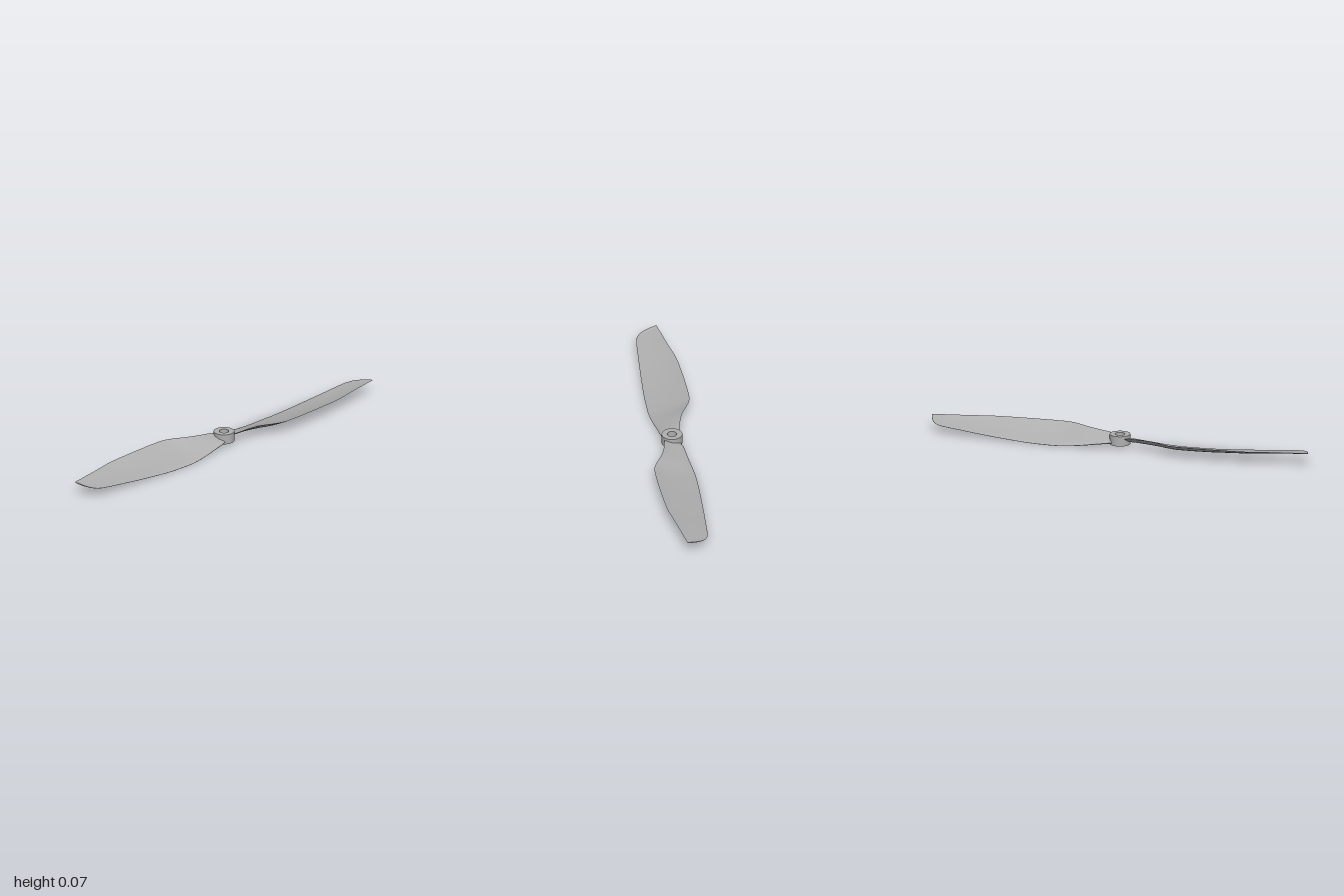
import * as THREE from 'three';

// Blade stations: z, trailing x, trailing y, leading x, leading y
const STATIONS = [
  [0.03, -0.040, 0.062, 0.040, 0.036],
  [0.07, -0.050, 0.066, 0.052, 0.033],
  [0.12, -0.058, 0.070, 0.058, 0.026],
  [0.19, -0.080, 0.074, 0.068, 0.017],
  [0.26, -0.115, 0.075, 0.077, 0.011],
  [0.32, -0.131, 0.075, 0.081, 0.009],
  [0.45, -0.130, 0.075, 0.081, 0.011],
  [0.57, -0.124, 0.075, 0.077, 0.019],
  [0.69, -0.114, 0.075, 0.072, 0.029],
  [0.80, -0.092, 0.075, 0.066, 0.040],
  [0.89, -0.075, 0.075, 0.061, 0.049],
  [0.93, -0.068, 0.075, 0.053, 0.053],
  [0.96, -0.062, 0.075, 0.035, 0.058],
  [0.98, -0.059, 0.075, 0.003, 0.064],
  [0.992, -0.056, 0.075, -0.030, 0.070],
  [1.0, -0.055, 0.075, -0.0549, 0.075],
];

function edgeCurve(ix) {
  const pts = STATIONS.map((s) => new THREE.Vector3(s[ix], s[ix + 1], s[0]));
  return new THREE.CatmullRomCurve3(pts, false, 'catmullrom', 0.5);
}

// Cambered airfoil lofted between the two edge curves
function bladeGeometry() {
  const trailing = edgeCurve(1), leading = edgeCurve(3);
  const rows = 60, cols = 20;
  const pos = [], idx = [];
  for (const side of [1, -1]) {
    const base = pos.length / 3;
    for (let i = 0; i <= rows; i++) {
      const a = trailing.getPoint(i / rows), b = leading.getPoint(i / rows);
      const chord = b.x - a.x;
      const half = Math.min(0.011 * (1 - 0.65 * a.z), chord * 0.12);
      for (let j = 0; j <= cols; j++) {
        // Points gather at the rounded leading edge
        const u = Math.sin((j / cols) * Math.PI / 2);
        const thick = half * 2.1 * Math.pow(u, 0.9) * Math.sqrt(Math.max(0, 1 - u));
        const camber = -0.045 * chord * 4 * u * (1 - u);
        pos.push(a.x + chord * u, a.y + (b.y - a.y) * u + camber + side * thick * 1.1, a.z);
      }
    }
    for (let i = 0; i < rows; i++) {
      for (let j = 0; j < cols; j++) {
        const p = base + i * (cols + 1) + j, q = p + cols + 1;
        if (side > 0) idx.push(p, q, p + 1, q, q + 1, p + 1);
        else idx.push(p, p + 1, q, q, p + 1, q + 1);
      }
    }
  }
  const g = new THREE.BufferGeometry();
  g.setAttribute('position', new THREE.Float32BufferAttribute(pos, 3));
  g.setIndex(idx);
  g.computeVertexNormals();
  return g;
}

// Ring with separate walls and faces so its rims stay sharp
function hub(material, outer, inner, y0, y1) {
  const group = new THREE.Group();
  group.name = 'hub';
  const add = (name, profile) => {
    const pts = profile.map((p) => new THREE.Vector2(p[0], p[1]));
    const mesh = new THREE.Mesh(new THREE.LatheGeometry(pts, 32), material);
    mesh.name = name;
    group.add(mesh);
  };
  add('hubOuterWall', [[outer, y0], [outer, y1]]);
  add('hubTop', [[outer, y1], [inner, y1]]);
  add('shaftHole', [[inner, y1], [inner, y0]]);
  add('hubBottom', [[inner, y0], [outer, y0]]);
  return group;
}

export function createModel() {
  const model = new THREE.Group();
  model.name = 'propeller';
  const grey = new THREE.MeshStandardMaterial({ color: 0xb0b0b0 });
  grey.name = 'plasticGrey';

  // Two blades, half a turn apart
  const geometry = bladeGeometry();
  ['frontBlade', 'backBlade'].forEach((name, i) => {
    const blade = new THREE.Mesh(geometry, grey);
    blade.name = name;
    blade.rotation.y = i * Math.PI;
    model.add(blade);
  });

  model.add(hub(grey, 0.052, 0.024, 0.024, 0.075));
  return model;
}
